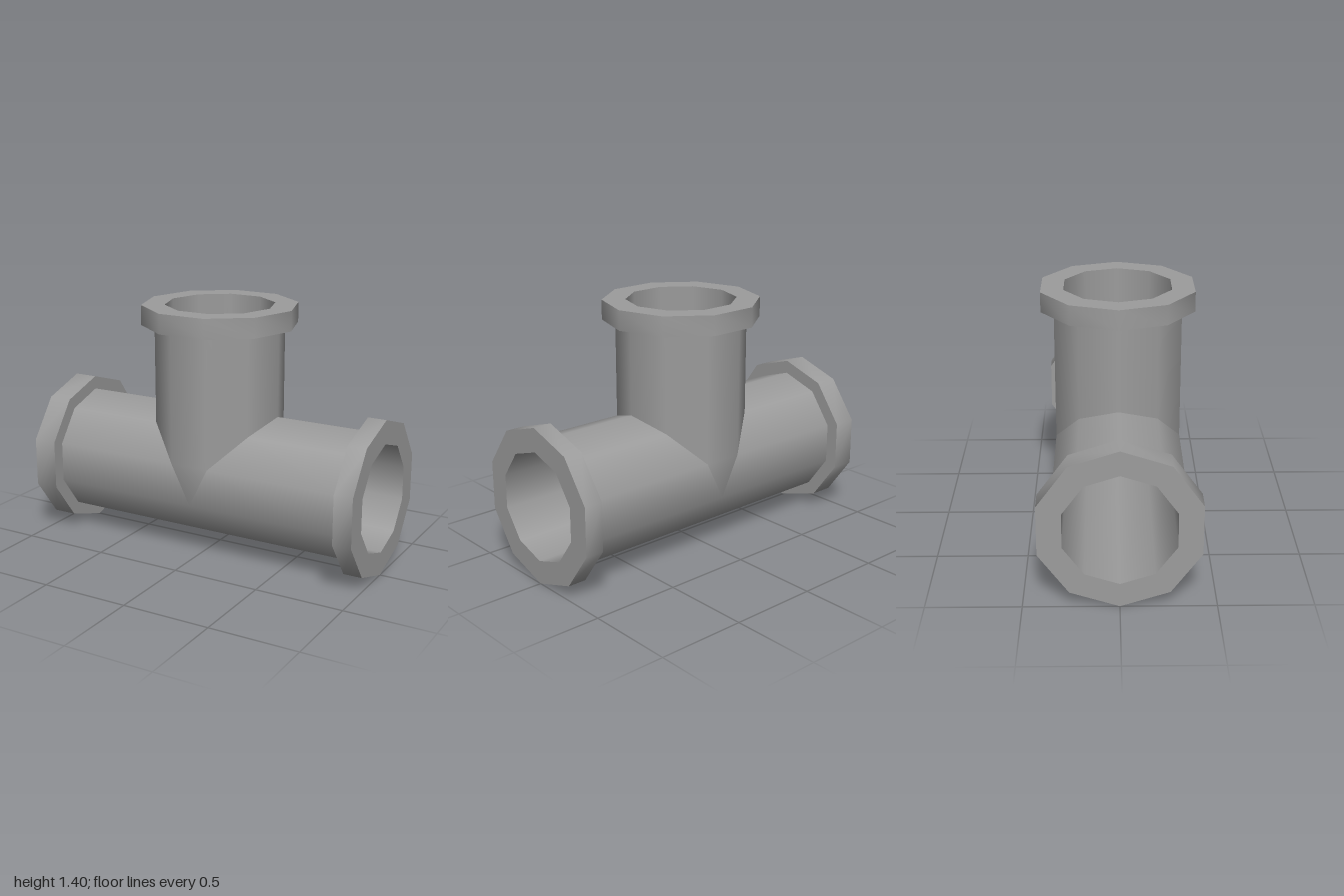
import * as THREE from 'three';
import { toCreasedNormals } from 'three/addons/utils/BufferGeometryUtils.js';

const SIDES = 10, AXIS = 0.44;           // ten-sided pipe, height of the run's axis
const OUTER = 0.364, BORE = 0.307;
const LEFT = 0.895, RIGHT = 0.865;       // where the run's collars begin
const NECK = 1.292, TOP = 1.403;         // branch collar, bottom and top

// Tee-shaped wall of radius r: two run arms mitred into an upright branch.
// Every corner carries its pipe's radial normal, so the sides shade round.
function teeWall(r, xLeft, xRight, yTop, inward) {
  const pos = [], nor = [];
  const tri = (corners, flip) => {
    const [a, b, c] = corners;
    for (const [p, n] of flip !== inward ? [a, c, b] : [a, b, c]) {
      pos.push(p[0], p[1] + AXIS, p[2]);
      nor.push(...n.map(v => (inward ? -v : v)));
    }
  };
  const quad = (a, b, c, d, flip) => { tri([a, b, c], flip); tri([a, c, d], flip); };
  const unit = k => {
    const t = (k * 2 * Math.PI) / SIDES;
    return [Math.cos(t), Math.sin(t)];
  };
  const runPoint = (x, [h, z]) => [[x, r * h, r * z], [0, h, z]];
  const branchPoint = (y, [h, z]) => [[r * h, y, r * z], [h, 0, z]];

  for (let k = 0; k < SIDES; k++) {
    const a = unit(k), b = unit(k + 1);
    // Run arms: the upper half stops at the mitre, the lower half at the middle
    for (const [s, end] of [[-1, xLeft], [1, xRight]]) {
      quad(runPoint(s * r * Math.max(0, a[0]), a), runPoint(s * r * Math.max(0, b[0]), b),
        runPoint(end, b), runPoint(end, a), s < 0);
    }
    // Branch
    quad(branchPoint(r * Math.abs(a[0]), a), branchPoint(yTop - AXIS, a),
      branchPoint(yTop - AXIS, b), branchPoint(r * Math.abs(b[0]), b), false);
  }

  // Flat gusset triangles where branch and run share a side
  const [h, z] = unit(2);
  for (const s of [-1, 1]) {
    tri([runPoint(0, [-h, s * z]), branchPoint(r * h, [h, s * z]),
      branchPoint(r * h, [-h, s * z])], s < 0);
  }

  const g = new THREE.BufferGeometry();
  g.setAttribute('position', new THREE.Float32BufferAttribute(pos, 3));
  g.setAttribute('normal', new THREE.Float32BufferAttribute(nor, 3));
  return g;
}

// Collar around the y axis, smooth round the sides with sharp rims
function collar(radius, start, end) {
  const profile = [[OUTER, start], [radius, start], [radius, end], [BORE, end]]
    .map(p => new THREE.Vector2(...p));
  return toCreasedNormals(new THREE.LatheGeometry(profile, SIDES, Math.PI / 2), 0.7);
}

export function createModel() {
  const group = new THREE.Group();
  const material = new THREE.MeshStandardMaterial({ color: 0x9c9c9c });
  const add = (name, geometry) => {
    const mesh = new THREE.Mesh(geometry, material);
    mesh.name = name;
    group.add(mesh);
    return mesh;
  };

  // Pipe walls
  add('outerWall', teeWall(OUTER, -RIGHT, LEFT, NECK, false));
  add('innerBore', teeWall(BORE, -1, 1, TOP, true));

  // End collars
  add('topFlange', collar(0.437, NECK, TOP));
  for (const [name, side, start] of [['leftFlange', 1, LEFT], ['rightFlange', -1, RIGHT]]) {
    const flange = add(name, collar(AXIS, start, 1));
    flange.rotation.z = -side * Math.PI / 2;
    flange.position.y = AXIS;
  }

  return group;
}
